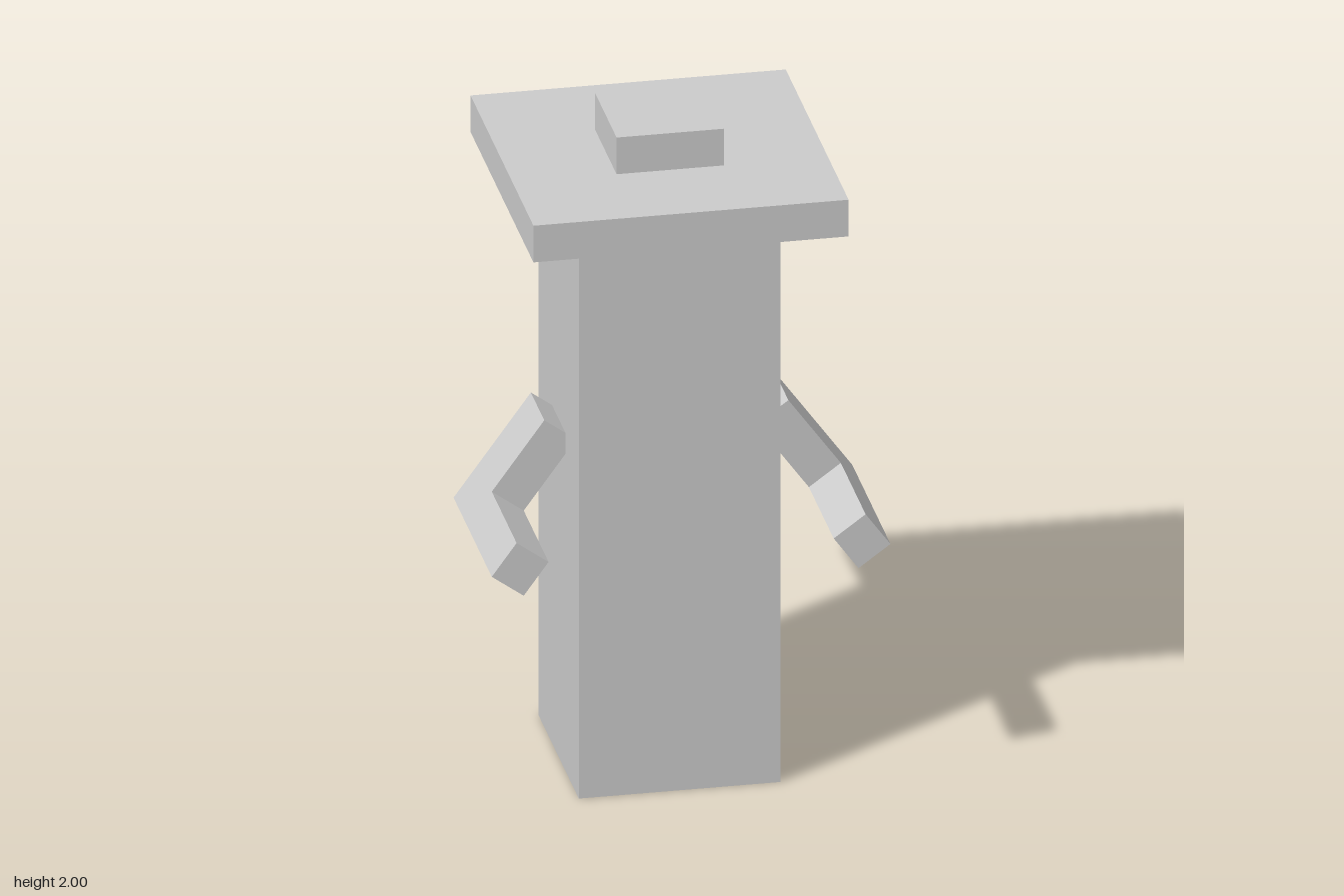
import * as THREE from 'three';

const material = new THREE.MeshStandardMaterial({ color: 0xcccccc, flatShading: true });

function addBlock(group, name, width, bottom, top) {
  const mesh = new THREE.Mesh(new THREE.BoxGeometry(width, top - bottom, width), material);
  mesh.name = name;
  mesh.position.y = (bottom + top) / 2;
  group.add(mesh);
}

// L-shaped arm: the profile lies in the z-y plane, its thickness runs along x
function armGeometry() {
  const half = 0.383 / 2, thickness = 0.115;
  const elbow = -half + 0.123;
  const profile = new THREE.Shape([
    [-0.098, -half], [0.46, -half], [0.46, elbow],
    [0.098, elbow], [0.098, half], [-0.098, half],
  ].map(([z, y]) => new THREE.Vector2(z, y)));
  const geometry = new THREE.ExtrudeGeometry(profile, { depth: thickness, bevelEnabled: false });
  geometry.translate(0, 0, -thickness / 2);
  geometry.rotateY(-Math.PI / 2);
  return geometry;
}

export function createModel() {
  const model = new THREE.Group();
  model.name = 'blockFigure';

  // Stacked square blocks
  addBlock(model, 'body', 0.588, 0, 1.77);
  addBlock(model, 'hatBrim', 0.918, 1.77, 1.885);
  addBlock(model, 'hatCrown', 0.313, 1.885, 2);

  // Arms slope outward and bend forward at the elbow
  const arm = armGeometry();
  for (const side of [1, -1]) {
    const mesh = new THREE.Mesh(arm, material);
    mesh.name = side > 0 ? 'leftArm' : 'rightArm';
    mesh.position.set(side * 0.4215, 0.916, 0);
    mesh.rotation.z = side * Math.PI / 5;
    model.add(mesh);
  }
  return model;
}
